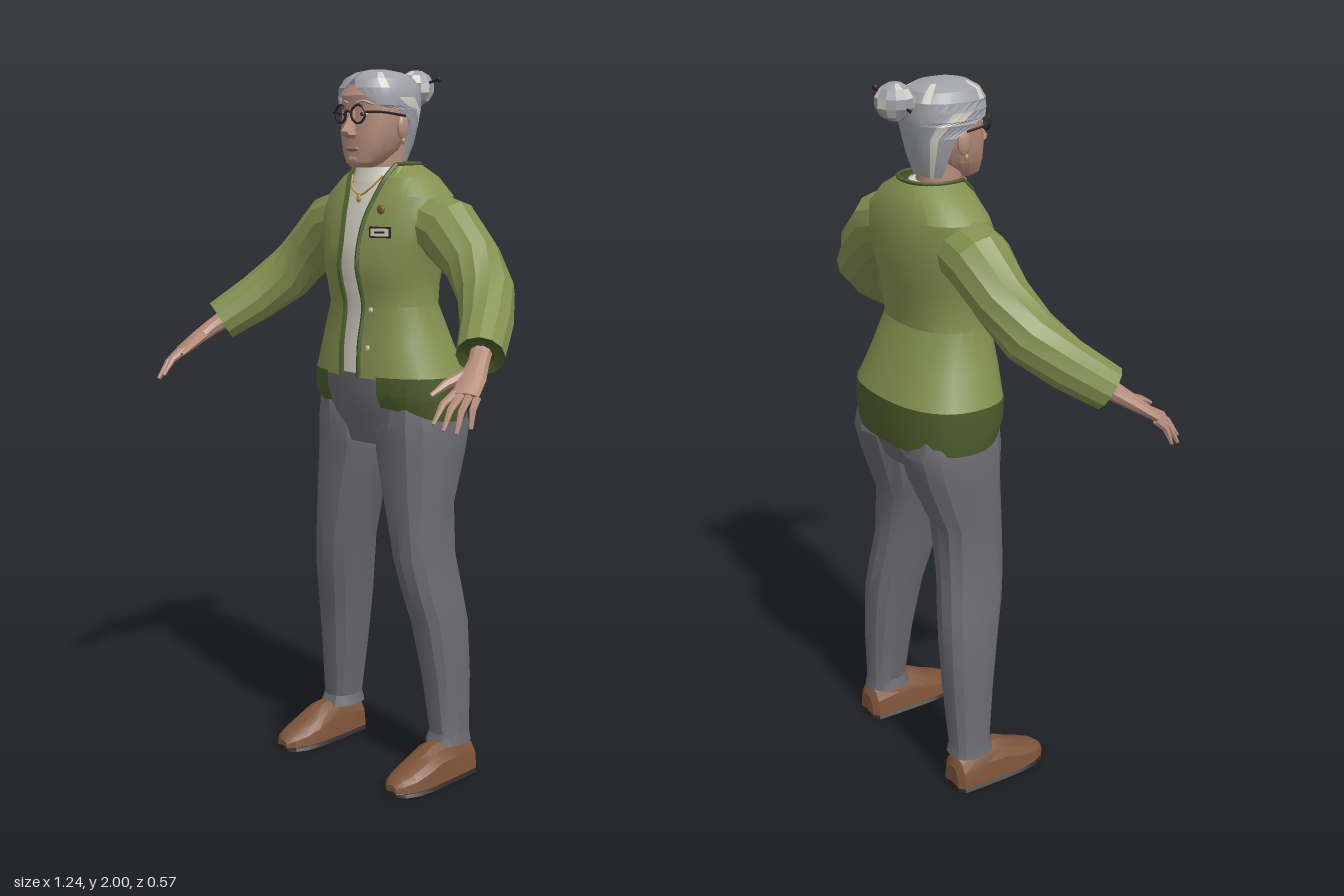
import * as THREE from 'three';
import { toCreasedNormals } from 'three/addons/utils/BufferGeometryUtils.js';

const V = (x, y, z) => new THREE.Vector3(x, y, z);
const MAT = {};
for (const [name, color, open] of [
  ['jacketGreen', 0x84904f, 1], ['trimGreen', 0x4c5c2b, 1], ['trouserGrey', 0x69696f], ['shoeBrown', 0x7c5338],
  ['darkBrown', 0x2b2421], ['skin', 0xb48c7a], ['hairGrey', 0x9fa1a7, 1], ['cream', 0xd2cec2, 1],
  ['gold', 0xb3984a], ['lipRose', 0x9a675c]]) {
  MAT[name] = new THREE.MeshStandardMaterial({ color });
  MAT[name].name = name;
  if (open) MAT[name].side = THREE.DoubleSide;
}

// Skin a list of point rings; pick(i, j) chooses the material slot of each quad.
function loft(rings, { closed = true, bottom = false, top = false, pick = null } = {}) {
  const n = rings[0].length, pts = rings.flat(), slots = [[], []];
  for (let i = 0; i < rings.length - 1; i++)
    for (let j = 0; j < (closed ? n : n - 1); j++) {
      const k = (j + 1) % n, a = i * n + j, b = i * n + k, c = b + n, d = a + n;
      slots[pick && pick(i, j) ? 1 : 0].push(a, b, c, a, c, d);
    }
  const cap = (start, flip) => {
    const mid = V(0, 0, 0);
    for (let j = 0; j < n; j++) mid.addScaledVector(pts[start + j], 1 / n);
    const m = pts.push(mid) - 1;
    for (let j = 0; j < n; j++) {
      const a = start + j, b = start + (j + 1) % n;
      slots[0].push(m, ...(flip ? [b, a] : [a, b]));
    }
  };
  if (bottom) cap(0, true);
  if (top) cap((rings.length - 1) * n, false);
  const geo = new THREE.BufferGeometry().setFromPoints(pts);
  geo.setIndex([...slots[0], ...slots[1]]);
  if (pick) {
    geo.addGroup(0, slots[0].length, 0);
    geo.addGroup(slots[0].length, slots[1].length, 1);
  }
  return geo;
}

// Horizontal rounded ring, starting a0 radians off the front centre; lift(t) shifts y.
function ring(y, w, zF, zB, { n = 20, a0 = 0, cx = 0, p = 0.85, lift = null } = {}) {
  const zc = (zF + zB) / 2, d = (zF - zB) / 2, f = v => Math.sign(v) * Math.abs(v) ** p, out = [];
  const count = a0 ? n + 1 : n;
  for (let j = 0; j < count; j++) {
    const t = a0 + (2 * Math.PI - 2 * a0) * j / n;
    out.push(V(cx + w * f(Math.sin(t)), y + (lift ? lift(t) : 0), zc + d * f(Math.cos(t))));
  }
  return out;
}
const gapAngle = (g, w, p = 0.85) => Math.asin((g / w) ** (1 / p));

// Rings along a path of [x, y, z, upRadius, sideRadius].
function pathRings(path, n = 10) {
  const c = path.map(q => V(q[0], q[1], q[2]));
  return path.map((q, i) => {
    const dir = c[Math.min(i + 1, c.length - 1)].clone().sub(c[Math.max(i - 1, 0)]).normalize();
    const u = V(0, 1, 0).addScaledVector(dir, -dir.y).normalize(), v = u.clone().cross(dir);
    return Array.from({ length: n }, (_, j) => {
      const t = j / n * 2 * Math.PI;
      return c[i].clone().addScaledVector(u, Math.sin(t) * q[3]).addScaledVector(v, Math.cos(t) * (q[4] ?? q[3]));
    });
  });
}

const tube = (pts, r, seg = 16) => new THREE.TubeGeometry(new THREE.CatmullRomCurve3(pts), seg, r, 5, false);
const ball = (x, y, z, rx, ry = rx, rz = rx) => new THREE.SphereGeometry(1, 10, 8).scale(rx, ry, rz).translate(x, y, z);

function mirrored(geo) {
  const g = (geo.index ? geo.toNonIndexed() : geo.clone()).scale(-1, 1, 1);
  for (const a of Object.values(g.attributes))
    for (let i = 0; i < a.count; i += 3)
      for (let k = 0; k < a.itemSize; k++) {
        const s = a.getComponent(i + 1, k);
        a.setComponent(i + 1, k, a.getComponent(i + 2, k));
        a.setComponent(i + 2, k, s);
      }
  return g;
}

export function createModel() {
  const model = new THREE.Group();
  model.name = 'elderlyWoman';
  const add = (name, geo, mat) => {
    const m = new THREE.Mesh(toCreasedNormals(geo, 0.42), mat);
    m.name = name;
    model.add(m);
  };
  const pair = (name, geo, mat) => {
    add(name + 'Left', geo, mat);
    add(name + 'Right', mirrored(geo), mat);
  };

  // Trousers: hips and two legs
  add('trouserHips', loft([[0.965, 0.17, -0.01, -0.24], [1.05, 0.23, 0.012, -0.272], [1.12, 0.215, 0.028, -0.265],
    [1.19, 0.17, 0.03, -0.22]].map(r => ring(...r)), { bottom: true, top: true }), MAT.trouserGrey);
  pair('trouserLeg', loft([[0.1, 0.163, 0.281, -0.072, -0.208], [0.13, 0.172, 0.274, -0.083, -0.202],
    [0.3, 0.148, 0.272, -0.065, -0.212], [0.46, 0.122, 0.266, -0.04, -0.213], [0.56, 0.103, 0.25, -0.015, -0.205],
    [0.65, 0.085, 0.235, 0, -0.195], [0.8, 0.048, 0.231, 0.003, -0.195], [0.94, 0.004, 0.234, 0.005, -0.25],
    [1.02, 0.002, 0.234, 0.01, -0.272], [1.08, 0.03, 0.22, 0.005, -0.26]]
    .map(([y, a, b, f, k]) => ring(y, (b - a) / 2, f, k, { n: 14, cx: (a + b) / 2 })), { bottom: true, top: true }), MAT.trouserGrey);

  // Shoes: flat-bottomed sections from heel to toe
  const shoeRings = (base, grow, height) => [[-0.21, 0.034, 0.07], [-0.196, 0.052, 0.098], [-0.12, 0.057, 0.118],
    [-0.05, 0.06, 0.112], [0, 0.062, 0.085], [0.05, 0.057, 0.062], [0.085, 0.042, 0.047], [0.104, 0.02, 0.032]]
    .map(([z, w, h]) => Array.from({ length: 14 }, (_, j) => {
      const t = j / 14 * 2 * Math.PI, s = Math.sin(t);
      return V(0.231 + (w + grow) * Math.cos(t), base + Math.max(s, 0) ** 0.7 * ((height || h) - base), z);
    }));
  pair('shoe', loft(shoeRings(0.012, 0, 0), { bottom: true, top: true }), MAT.shoeBrown);
  pair('shoeSole', loft(shoeRings(0, 0.002, 0.016), { bottom: true, top: true }), MAT.darkBrown);

  // Jacket body, open at the front: y, half width, front z, back z, half gap
  const jacket = [[1.16, 0.241, 0.042, -0.285, 0.035], [1.25, 0.203, 0.04, -0.253, 0.035], [1.36, 0.168, 0.025, -0.212, 0.037],
    [1.42, 0.17, 0.04, -0.218, 0.037], [1.47, 0.178, 0.05, -0.228, 0.036], [1.53, 0.192, 0.042, -0.238, 0.035],
    [1.6, 0.212, 0.025, -0.24, 0.042], [1.66, 0.205, 0, -0.235, 0.056], [1.71, 0.15, -0.02, -0.218, 0.07],
    [1.745, 0.088, -0.03, -0.19, 0.076]].map(([y, w, f, b, g]) => ring(y, w, f, b, { n: 26, a0: gapAngle(g, w) }));
  add('jacketBody', loft(jacket, { closed: false }), MAT.jacketGreen);
  pair('lapelTrim', tube(jacket.map(r => r[0]), 0.007, 30), MAT.trimGreen);
  add('necklineTrim', tube(jacket[jacket.length - 1], 0.006, 30), MAT.trimGreen);

  // Dark hem band, cut away at the front
  const lift = t => 0.045 * Math.max(0, Math.cos(t)) ** 1.5;
  add('jacketHem', loft([ring(1.04, 0.236, 0.025, -0.282, { n: 26, a0: gapAngle(0.097, 0.236), lift }),
    ring(1.1, 0.245, 0.042, -0.289, { n: 26, a0: gapAngle(0.097, 0.245), lift: t => lift(t) * 0.5 }),
    ring(1.167, 0.242, 0.044, -0.287, { n: 26, a0: gapAngle(0.097, 0.242) })], { closed: false }), MAT.trimGreen);

  // Sleeves with a dark lining at the cuff
  const sleeve = pathRings([[0.14, 1.595, -0.115, 0.085], [0.225, 1.57, -0.116, 0.09], [0.32, 1.49, -0.11, 0.08],
    [0.395, 1.412, -0.08, 0.078], [0.46, 1.342, -0.01, 0.07], [0.52, 1.275, 0.08, 0.062, 0.064]], 12);
  pair('sleeve', loft(sleeve), MAT.jacketGreen);
  const cuffEnd = sleeve[sleeve.length - 1];
  pair('cuffLining', loft([cuffEnd, cuffEnd.map(p => p.clone().lerp(V(0.505, 1.29, 0.06), 0.4))], { top: true }), MAT.trimGreen);

  // Hands: palm, fingers and thumb
  pair('palm', loft(pathRings([[0.5, 1.295, 0.05, 0.03, 0.03], [0.532, 1.258, 0.102, 0.024, 0.028],
    [0.552, 1.225, 0.148, 0.019, 0.038], [0.571, 1.19, 0.195, 0.013, 0.037]], 10), { bottom: true, top: true }), MAT.skin);
  [[0.543, 1.196, 0.2, 0.545, 1.128, 0.28], [0.562, 1.193, 0.198, 0.575, 1.115, 0.276],
    [0.581, 1.19, 0.19, 0.6, 1.108, 0.255], [0.597, 1.187, 0.178, 0.616, 1.118, 0.22]].forEach(([a, b, c, x, y, z], i) =>
    pair('finger' + (i + 1), loft(pathRings([[a, b, c, 0.011], [(a + x) / 2, (b + y) / 2 + 0.01, (c + z) / 2 + 0.005, 0.0095],
      [x, y, z, 0.005]], 6), { bottom: true, top: true }), MAT.skin));
  pair('thumb', loft(pathRings([[0.532, 1.24, 0.13, 0.016], [0.51, 1.215, 0.195, 0.012], [0.502, 1.19, 0.243, 0.006]], 6),
    { bottom: true, top: true }), MAT.skin);

  // Shirt, collar and neck
  add('shirt', loft([[1.17, 0.13, 0.033, -0.2], [1.25, 0.13, 0.03, -0.2], [1.36, 0.12, 0.016, -0.17], [1.47, 0.13, 0.04, -0.17],
    [1.53, 0.13, 0.033, -0.17], [1.6, 0.13, 0.017, -0.17], [1.66, 0.11, -0.004, -0.17], [1.695, 0.085, -0.012, -0.17],
    [1.735, 0.07, -0.022, -0.16]].map(r => ring(...r)), { top: true }), MAT.cream);
  add('collar', loft([ring(1.7, 0.08, -0.006, -0.172), ring(1.738, 0.073, -0.017, -0.163)]), MAT.cream);
  add('neck', loft([ring(1.68, 0.058, -0.03, -0.145), ring(1.8, 0.056, -0.02, -0.14)]), MAT.skin);
  add('necklace', tube([V(-0.06, 1.715, -0.028), V(-0.035, 1.68, -0.002), V(0, 1.662, 0.002), V(0.035, 1.68, -0.002), V(0.06, 1.715, -0.028)], 0.003), MAT.gold);
  add('pendant', ball(0, 1.652, 0.007, 0.008, 0.011, 0.005), MAT.gold);

  // Head and face
  add('head', loft([[1.737, 0.028, 0.024, -0.04], [1.75, 0.05, 0.032, -0.07], [1.785, 0.075, 0.034, -0.11], [1.83, 0.089, 0.034, -0.135],
    [1.88, 0.094, 0.028, -0.155], [1.93, 0.093, 0.03, -0.165], [1.96, 0.078, 0.01, -0.15]].map(r => ring(...r)),
    { bottom: true, top: true }), MAT.skin);
  add('nose', loft([[1.815, 0.012, 0.045, 0.02], [1.824, 0.02, 0.062, 0.02], [1.834, 0.017, 0.07, 0.02], [1.86, 0.01, 0.052, 0.015],
    [1.892, 0.008, 0.036, 0.01]].map(r => ring(...r, { n: 8 })), { bottom: true, top: true }), MAT.skin);
  add('lips', ball(0, 1.787, 0.032, 0.026, 0.007, 0.008), MAT.lipRose);
  add('chin', ball(0, 1.757, 0.022, 0.026, 0.017, 0.014), MAT.skin);
  pair('ear', ball(0.094, 1.845, -0.07, 0.011, 0.033, 0.02), MAT.skin);
  pair('earring', ball(0.1, 1.808, -0.066, 0.006, 0.009, 0.006), MAT.gold);
  pair('eye', ball(0.034, 1.88, 0.021, 0.014, 0.007, 0.008), MAT.cream);
  pair('pupil', ball(0.034, 1.88, 0.027, 0.006, 0.006, 0.004), MAT.darkBrown);
  pair('eyebrow', tube([V(0.015, 1.909, 0.029), V(0.037, 1.914, 0.024), V(0.06, 1.906, 0.01)], 0.004), MAT.hairGrey);

  // Glasses
  pair('glassesRim', new THREE.TorusGeometry(0.024, 0.0035, 5, 18).rotateY(0.15).translate(0.034, 1.88, 0.042), MAT.darkBrown);
  add('glassesBridge', tube([V(-0.011, 1.885, 0.045), V(0, 1.889, 0.048), V(0.011, 1.885, 0.045)], 0.0035, 6), MAT.darkBrown);
  pair('glassesTemple', tube([V(0.057, 1.885, 0.038), V(0.092, 1.885, 0.012), V(0.104, 1.875, -0.07)], 0.0035), MAT.darkBrown);

  // Hair cap, open over the face, with pale streaks
  const hair = [[1.752, 0.066, -0.03, -0.147, 2], [1.8, 0.088, 0, -0.163, 1.9], [1.86, 0.101, 0.03, -0.178, 1.75],
    [1.893, 0.104, 0.036, -0.186, 1.3], [1.903, 0.105, 0.038, -0.187, 0.8], [1.925, 0.105, 0.04, -0.187, 0.5], [1.95, 0.101, 0.039, -0.185, 0.15],
    [1.975, 0.086, 0.024, -0.168, 0.01], [1.992, 0.056, -0.006, -0.135, 0.01], [2, 0.018, -0.045, -0.095, 0.01]]
    .map(([y, w, f, b, a0]) => ring(y, w, f, b, { n: 24, a0 }));
  add('hair', loft(hair, { closed: false, top: true, pick: (i, j) =>
    (i > 5 && i < 8 && [3, 9, 14, 20].includes(j)) || (i < 5 && [4, 5, 18, 19].includes(j)) }), [MAT.hairGrey, MAT.cream]);

  // Bun with its pin
  add('bun', loft([-0.95, -0.7, -0.25, 0.25, 0.7, 0.95].map(k => {
    const r = 0.054 * Math.sqrt(1 - k * k);
    return ring(1.953 + 0.05 * k, r, -0.217 + r, -0.217 - r, { n: 12, p: 1 });
  }), { bottom: true, top: true, pick: (i, j) => (j + i) % 4 === 0 }), [MAT.hairGrey, MAT.cream]);
  add('hairPin', tube([V(-0.07, 1.935, -0.212), V(0.08, 1.975, -0.222)], 0.004, 2), MAT.darkBrown);
  add('hairPinBead', ball(0.083, 1.976, -0.222, 0.009), MAT.darkBrown);

  // Jacket details: buttons, brooch and badge
  add('upperButton', ball(0.065, 1.35, 0.024, 0.008, 0.008, 0.004), MAT.cream);
  add('lowerButton', ball(0.065, 1.245, 0.036, 0.008, 0.008, 0.004), MAT.cream);
  add('brooch', ball(0.09, 1.625, 0.01, 0.013, 0.013, 0.008), MAT.shoeBrown);
  const plate = (w, h, dz) => new THREE.BoxGeometry(w, h, 0.005).translate(0, 0, dz).rotateY(0.35).translate(0.105, 1.565, 0.028);
  add('badgeFrame', plate(0.064, 0.03, 0), MAT.darkBrown);
  add('badgePlate', plate(0.054, 0.021, 0.002), MAT.cream);
  add('badgeStripe', plate(0.03, 0.005, 0.004), MAT.darkBrown);
  return model;
}
